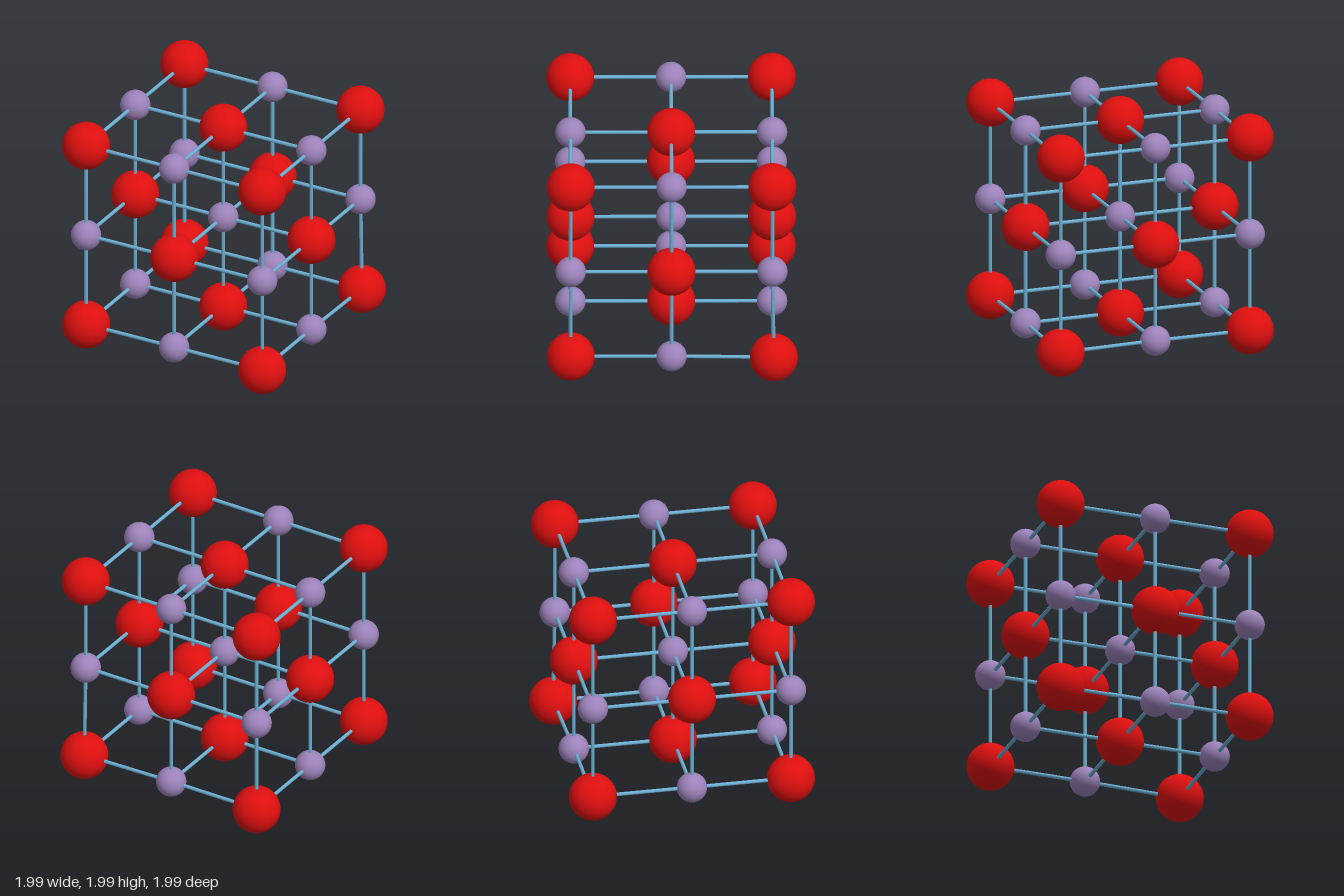
import * as THREE from 'three';

const SPACING = 0.8;
const LARGE_RADIUS = 0.191;
const SMALL_RADIUS = 0.121;
const BOND_RADIUS = 0.015;

function material(name, color) {
  const m = new THREE.MeshStandardMaterial({ color });
  m.name = name;
  return m;
}

// Lattice node position; one corner sits very slightly outside the grid
function nodePosition(i, j, k) {
  const p = new THREE.Vector3(i * SPACING - 0.002, 1 + j * SPACING, k * SPACING + 0.006);
  if (i === 1 && j === -1 && k === -1) p.add(new THREE.Vector3(0.006, -0.008, -0.012));
  return p;
}

export function createModel() {
  const model = new THREE.Group();
  model.name = 'crystalLattice';

  const red = material('red', 0xde0f0f);
  const purple = material('purple', 0x9c82ba);
  const blue = material('blue', 0x6baed2);

  const largeSphere = new THREE.SphereGeometry(LARGE_RADIUS, 40, 28);
  const smallSphere = new THREE.SphereGeometry(SMALL_RADIUS, 32, 20);
  const rod = new THREE.CylinderGeometry(BOND_RADIUS, BOND_RADIUS, 1, 12, 1, true);
  const up = new THREE.Vector3(0, 1, 0);

  const atoms = new THREE.Group();
  atoms.name = 'atoms';
  const bonds = new THREE.Group();
  bonds.name = 'bonds';
  model.add(atoms, bonds);

  // Rod between two node centres, its ends hidden in the spheres
  function addBond(a, b) {
    const direction = b.clone().sub(a);
    const bond = new THREE.Mesh(rod, blue);
    bond.name = 'bond';
    bond.position.copy(a).lerp(b, 0.5);
    bond.scale.y = direction.length();
    bond.quaternion.setFromUnitVectors(up, direction.normalize());
    bonds.add(bond);
  }

  for (let i = -1; i <= 1; i++) {
    for (let j = -1; j <= 1; j++) {
      for (let k = -1; k <= 1; k++) {
        // Large atoms at corners and face centres, small ones between them
        const large = Math.abs(i + j + k) % 2 === 1;
        const position = nodePosition(i, j, k);
        const atom = new THREE.Mesh(large ? largeSphere : smallSphere, large ? red : purple);
        atom.name = large ? 'largeAtom' : 'smallAtom';
        atom.position.copy(position);
        atoms.add(atom);

        // Bonds to the next node along each axis
        if (i < 1) addBond(position, nodePosition(i + 1, j, k));
        if (j < 1) addBond(position, nodePosition(i, j + 1, k));
        if (k < 1) addBond(position, nodePosition(i, j, k + 1));
      }
    }
  }
  return model;
}
